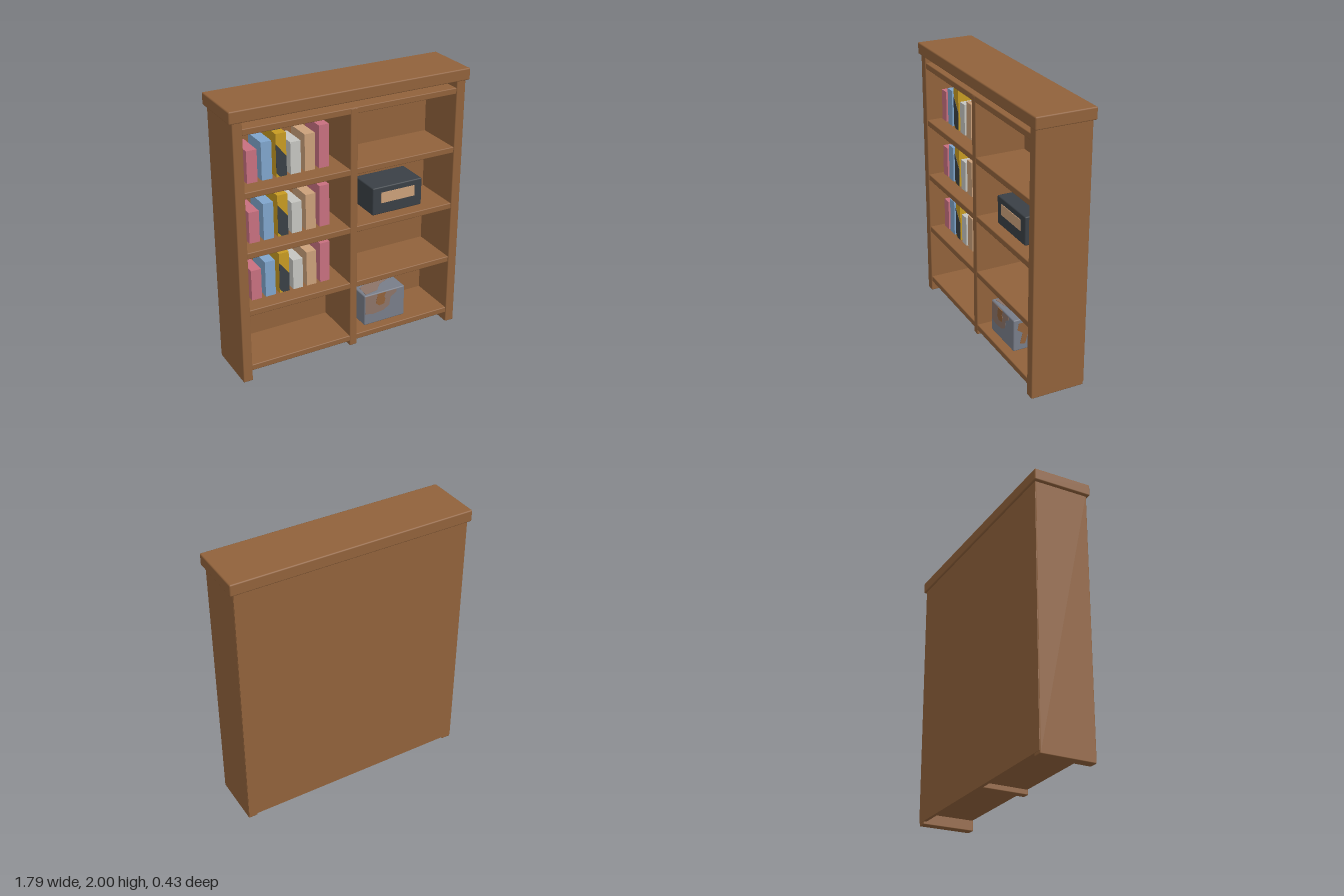
import * as THREE from 'three';
import { RoundedBoxGeometry } from 'three/addons/geometries/RoundedBoxGeometry.js';

const COLORS = {
  wood: 0x91623b, pink: 0xc87080, blue: 0x7fa5cc, gold: 0xc79b22, charcoal: 0x3a4046,
  paleGrey: 0xc5c5c0, tan: 0xcba07a, slate: 0x787d89, mauve: 0x8c7468,
};

export function createModel() {
  const model = new THREE.Group();
  model.name = 'bookcase';
  const mats = {};
  for (const [name, color] of Object.entries(COLORS)) {
    mats[name] = new THREE.MeshStandardMaterial({ color });
    mats[name].name = name;
  }

  // Softly bevelled box given by its min and max on each axis
  function box(name, mat, [x0, x1], [y0, y1], [z0, z1], bevel = 0.006, parent = model) {
    const size = [x1 - x0, y1 - y0, z1 - z0];
    const geo = bevel ? new RoundedBoxGeometry(...size, 1, bevel) : new THREE.BoxGeometry(...size);
    const mesh = new THREE.Mesh(geo, mats[mat]);
    mesh.position.set((x0 + x1) / 2, (y0 + y1) / 2, (z0 + z1) / 2);
    mesh.name = name;
    parent.add(mesh);
    return mesh;
  }

  // Thin painted patch, outlined in x and y, facing +z
  function patch(name, mat, points, z, parent = model) {
    const shape = new THREE.Shape(points.map(([x, y]) => new THREE.Vector2(x, y)));
    const mesh = new THREE.Mesh(
      new THREE.ExtrudeGeometry(shape, { depth: 0.002, bevelEnabled: false }), mats[mat]);
    mesh.position.z = z;
    mesh.name = name;
    parent.add(mesh);
    return mesh;
  }

  // Carcass
  box('crown', 'wood', [-0.895, 0.895], [1.915, 2], [-0.215, 0.215], 0.009);
  for (const [name, s] of [['leftSide', 1], ['rightSide', -1]]) {
    box(name, 'wood', [s * 0.835 - 0.035, s * 0.835 + 0.035], [0, 1.925], [-0.197, 0.2]);
  }
  box('backPanel', 'wood', [-0.868, 0.868], [0.02, 1.925], [-0.2, -0.175], 0);
  box('divider', 'wood', [-0.028, 0.028], [0.04, 1.862], [-0.18, 0.197]);

  // Shelves
  for (let i = 0; i < 5; i++) {
    const y = 0.077 + i * 0.436;
    box('shelf', 'wood', [-0.803, 0.803], [y, y + 0.045], [-0.18, 0.195]);
  }

  // Three rows of books
  const books = [['pink', 0.227], ['blue', 0.267], ['gold', 0.305],
    ['paleGrey', 0.227], ['tan', 0.262], ['pink', 0.305]];
  for (const y of [0.573, 1.009, 1.445]) {
    const row = new THREE.Group();
    row.name = 'bookRow';
    row.position.y = y;
    model.add(row);
    books.forEach(([color, h], i) => {
      const x = -0.74 + i * 0.105;
      box('book', color, [x, x + 0.075], [0, h], [-0.1, 0.1], 0, row);
    });
    // Two-tone cover of the gold book
    patch('bookCover', 'charcoal', [[-0.53, 0.235], [-0.53, 0.03], [-0.505, 0.002], [-0.455, 0.002],
      [-0.455, 0.14], [-0.475, 0.165]], 0.1, row);
    box('bookTopPaint', 'charcoal', [-0.53, -0.455], [0.305, 0.307], [-0.1, 0.03], 0, row);
  }

  // Labelled storage box
  box('storageBox', 'charcoal', [0.195, 0.597], [1, 1.207], [-0.135, 0.117], 0.008);
  box('boxLabel', 'tan', [0.262, 0.535], [1.085, 1.165], [0.115, 0.121], 0);

  // Mottled crate
  box('crate', 'slate', [0.13, 0.47], [0.125, 0.37], [-0.135, 0.13], 0.008);
  patch('crateMottle', 'mauve', [[0.137, 0.363], [0.137, 0.22], [0.2, 0.205], [0.29, 0.215],
    [0.34, 0.245], [0.35, 0.31], [0.4, 0.34], [0.4, 0.363]], 0.13);
  patch('crateSpot', 'wood', [[0.24, 0.363], [0.225, 0.29], [0.25, 0.265], [0.295, 0.27],
    [0.305, 0.31], [0.295, 0.33], [0.31, 0.363]], 0.132);
  const sideSpot = patch('crateSideSpot', 'wood', [[-0.09, 0.34], [-0.1, 0.29], [-0.06, 0.26],
    [-0.08, 0.18], [-0.04, 0.17], [-0.01, 0.27], [0.06, 0.3], [0.06, 0.34]], 0);
  sideSpot.rotation.y = Math.PI / 2;
  sideSpot.position.set(0.47, 0, 0);
  const topSpot = patch('crateTopSpot', 'mauve', [[0.15, -0.11], [0.26, -0.09], [0.32, -0.02],
    [0.42, 0.02], [0.4, 0.08], [0.25, 0.03], [0.16, 0.0]], 0);
  topSpot.rotation.x = -Math.PI / 2;
  topSpot.position.set(0, 0.37, 0);

  return model;
}
